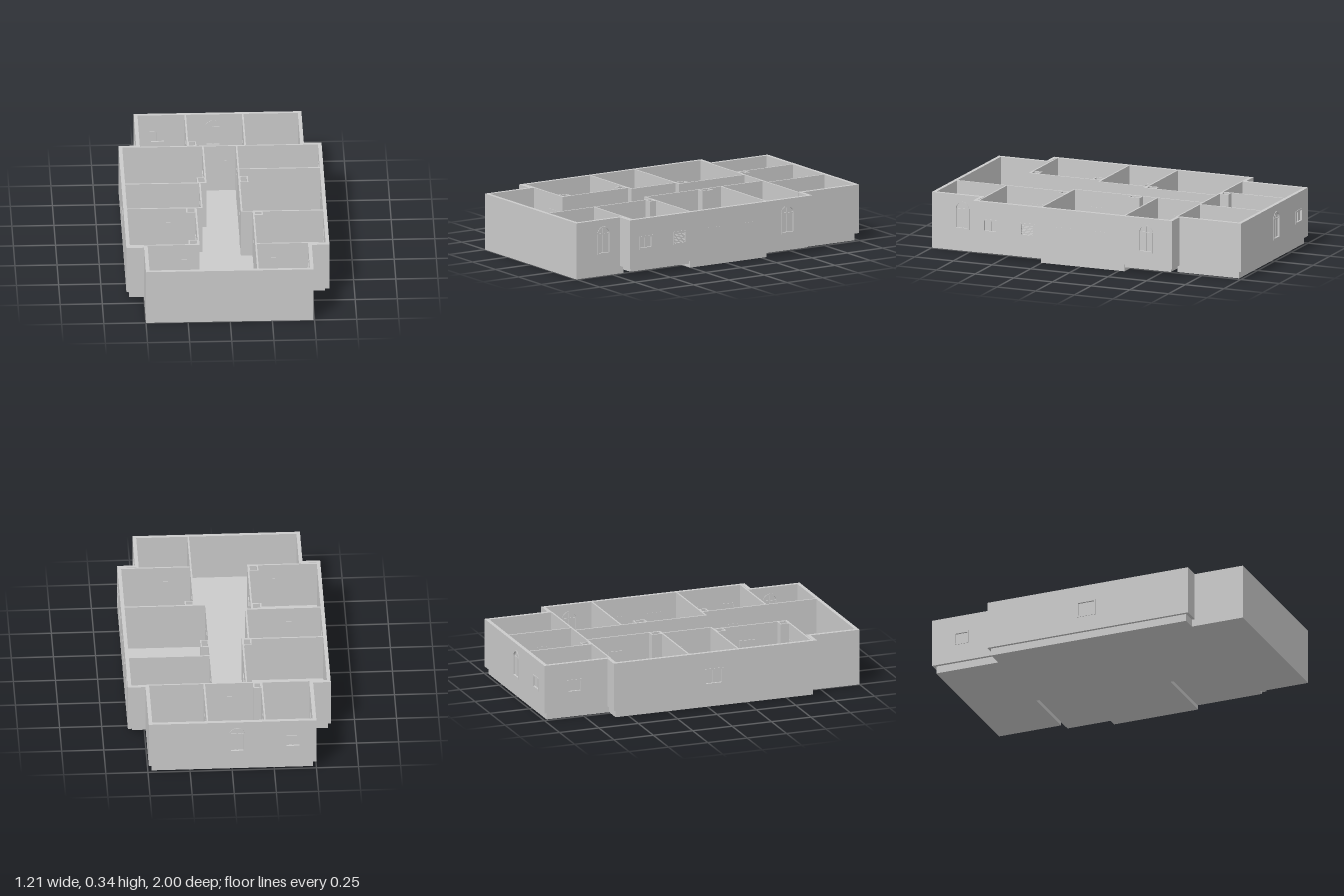
import * as THREE from 'three';

const TOP = 0.34, FLOOR = 0.045, T = 0.022, THIN = 0.01;

export function createModel() {
  const model = new THREE.Group();
  model.name = 'openFloorPlan';
  const mat = new THREE.MeshStandardMaterial({ color: 0xcccccc });

  const add = (parent, name, geo, x = 0, y = 0, z = 0) => {
    const m = new THREE.Mesh(geo, mat);
    m.name = name;
    m.position.set(x, y, z);
    parent.add(m);
    return m;
  };
  const box = (parent, name, w, h, d, x, y, z) => add(parent, name, new THREE.BoxGeometry(w, h, d), x, y, z);

  // Opening outline: rectangle or round-headed, shrunk by an inset
  const outline = (Kind, o, inset = 0) => {
    const r = o.w / 2 - inset, y0 = o.y + inset, p = new Kind();
    p.moveTo(o.u - r, y0);
    p.lineTo(o.u + r, y0);
    if (o.arch) {
      p.lineTo(o.u + r, o.y + o.h - o.w / 2);
      p.absarc(o.u, o.y + o.h - o.w / 2, r, 0, Math.PI, false);
    } else {
      p.lineTo(o.u + r, o.y + o.h - inset);
      p.lineTo(o.u - r, o.y + o.h - inset);
    }
    p.closePath();
    return p;
  };
  const extrude = (shape, depth) => {
    const g = new THREE.ExtrudeGeometry(shape, { depth, bevelEnabled: false, curveSegments: 10 });
    return g.translate(0, 0, -depth / 2);
  };

  // Window: frame ring, pane, centre bar, and transom or slats
  const addWindow = (parent, o) => {
    const g = new THREE.Group();
    g.name = 'window';
    const ring = outline(THREE.Shape, o);
    ring.holes.push(outline(THREE.Path, o, 0.009));
    add(g, 'windowFrame', extrude(ring, 0.028));
    add(g, 'windowPane', extrude(outline(THREE.Shape, o, 0.008), 0.004));
    if (o.slats) {
      for (let i = 1; i <= 7; i++) box(g, 'slat', o.w - 0.016, 0.003, 0.02, o.u, o.y + (o.h * i) / 8, 0);
    } else {
      box(g, 'centreBar', 0.007, o.h - 0.012, 0.014, o.u, o.y + o.h / 2, 0);
    }
    if (o.arch) box(g, 'transom', o.w - 0.012, 0.006, 0.014, o.u, o.y + o.h - o.w / 2, 0);
    parent.add(g);
  };

  // Door: leaf in a slim casing, showing on both wall faces
  const addDoor = (parent, u, casing) => {
    const w = 0.09, h = 0.2;
    box(parent, 'doorLeaf', w, h, THIN + 0.003, u, FLOOR + h / 2, 0);
    if (!casing) return;
    for (const s of [-1, 1]) box(parent, 'doorCasing', 0.008, h, THIN + 0.01, u + s * w / 2, FLOOR + h / 2, 0);
    box(parent, 'doorHead', w + 0.008, 0.008, THIN + 0.01, u, FLOOR + h, 0);
  };

  // Wall along axis 'x' or 'z' at a fixed offset, with windows, doors and flush panels
  const wall = (name, axis, at, from, to, { t = THIN, y0 = FLOOR, windows = [], doors = [], panels = [], casing = false } = {}) => {
    const g = new THREE.Group();
    g.name = name;
    if (axis === 'x') g.position.z = at;
    else { g.position.x = at; g.rotation.y = -Math.PI / 2; }
    const a = from - t / 2, b = to + t / 2;
    const s = new THREE.Shape([[a, y0], [b, y0], [b, TOP], [a, TOP]].map(([x, y]) => new THREE.Vector2(x, y)));
    windows.forEach(o => s.holes.push(outline(THREE.Path, o)));
    add(g, 'wallPanel', extrude(s, t));
    windows.forEach(o => addWindow(g, o));
    doors.forEach(u => addDoor(g, u, casing));
    panels.forEach(u => box(g, 'flushWindow', 0.11, 0.1, t + 0.002, u, 0.18, 0));
    model.add(g);
  };

  const small = (u, extra) => ({ u, y: 0.155, w: 0.095, h: 0.08, ...extra });
  const arched = u => ({ u, y: 0.13, w: 0.095, h: 0.17, arch: true });

  // Outer walls of the back, middle and front blocks
  const L = -0.594, R = 0.589, l = -0.489, r = 0.484, B = -0.989, F = 0.989, b = -0.589, f = 0.679;
  wall('backWall', 'x', B, l, r, { t: T, windows: [small(-0.36), arched(-0.03)] });
  wall('backLeftWall', 'z', r, B, b, { t: T });
  wall('backRightWall', 'z', l, B, b, { t: T, windows: [small(-0.81)] });
  wall('sideLeftWall', 'z', R, b, f, { t: T, windows: [arched(-0.427), small(0.337, { slats: true }), small(0.577)], panels: [0.1, -0.14] });
  wall('sideRightWall', 'z', L, b, f, { t: T, windows: [{ u: 0.035, y: 0.14, w: 0.12, h: 0.1 }] });
  for (const [z, y0] of [[b, FLOOR], [f, FLOOR]]) {
    wall('shoulderWall', 'x', z, L, l, { t: T, y0 });
    wall('shoulderWall', 'x', z, r, R, { t: T, y0 });
  }
  wall('frontWall', 'x', F, l, r, { t: T, y0: 0 });
  wall('frontLeftWall', 'z', r, f, F, { t: T, y0: 0, windows: [arched(0.805)] });
  wall('frontRightWall', 'z', l, f, F, { t: T, y0: 0 });

  // Partitions across the building
  wall('backPartition', 'x', -0.58, l, r, { doors: [-0.01] });
  wall('partition', 'x', -0.117, L, -0.105);
  wall('partition', 'x', 0.196, L, -0.14, { doors: [-0.37] });
  wall('partition', 'x', 0.66, L, -0.175, { doors: [-0.29] });
  wall('partition', 'x', -0.285, 0.095, R);
  wall('partition', 'x', 0.252, 0.095, R);
  wall('partition', 'x', 0.66, 0.165, R, { doors: [0.3] });

  // Partitions along the building
  wall('partition', 'z', -0.195, B, -0.58, { doors: [-0.82] });
  wall('partition', 'z', 0.146, B, -0.58, { doors: [-0.78] });
  wall('corridorWall', 'z', -0.105, -0.58, -0.117, { doors: [-0.395], casing: true });
  wall('corridorWall', 'z', -0.14, -0.117, 0.196, { doors: [-0.03] });
  wall('corridorWall', 'z', -0.175, 0.196, 0.66, { doors: [0.41], casing: true });
  wall('corridorWall', 'z', 0.095, -0.58, 0.252, { doors: [-0.43, 0.1] });
  wall('corridorWall', 'z', 0.165, 0.252, F, { doors: [0.45] });

  // Hollow service shafts in the room corners: centre x, z and size
  const shafts = [
    [-0.168, -0.612, 0.05, 0.055], [-0.13, -0.152, 0.052, 0.068], [-0.205, 0.228, 0.058, 0.058],
    [-0.205, 0.63, 0.058, 0.058], [0.122, -0.155, 0.052, 0.075], [0.192, 0.277, 0.055, 0.045],
  ];
  const h = TOP - FLOOR, my = (TOP + FLOOR) / 2, e = 0.008;
  for (const [x, z, w, d] of shafts) {
    const g = new THREE.Group();
    g.name = 'serviceShaft';
    for (const s of [-1, 1]) {
      box(g, 'shaftSide', e, h, d, x + s * (w - e) / 2, my, z);
      box(g, 'shaftEnd', w - 2 * e, h, e, x, my, z + s * (d - e) / 2);
    }
    model.add(g);
  }

  // Floor slabs: horizontal plates cut from plan outlines
  const plate = (name, pts, y, thick) => {
    const s = new THREE.Shape(pts.map(([x, z]) => new THREE.Vector2(x, -z)));
    const g = new THREE.ExtrudeGeometry(s, { depth: thick, bevelEnabled: false });
    add(model, name, g.rotateX(-Math.PI / 2), 0, y, 0);
  };
  const rightEdge = [[-0.49, 0.98], [-0.49, 0.672], [-0.588, 0.672], [-0.588, -0.582], [-0.482, -0.582], [-0.482, -0.98]];
  // lower plate, set back under two side rooms
  plate('foundation', [
    ...rightEdge, [0.477, -0.98], [0.477, -0.58], [0.1, -0.58], [0.1, -0.285], [0.586, -0.285],
    [0.586, 0.255], [0.165, 0.255], [0.165, 0.67], [0.485, 0.67], [0.485, 0.98],
  ], 0, 0.022);
  plate('floorSlab', [
    ...rightEdge, [0.477, -0.98], [0.477, -0.58], [0.575, -0.58], [0.575, -0.285], [0.586, -0.285],
    [0.586, 0.255], [0.575, 0.255], [0.575, 0.67], [0.485, 0.67], [0.485, 0.98],
  ], 0.022, FLOOR - 0.022);

  return model;
}
